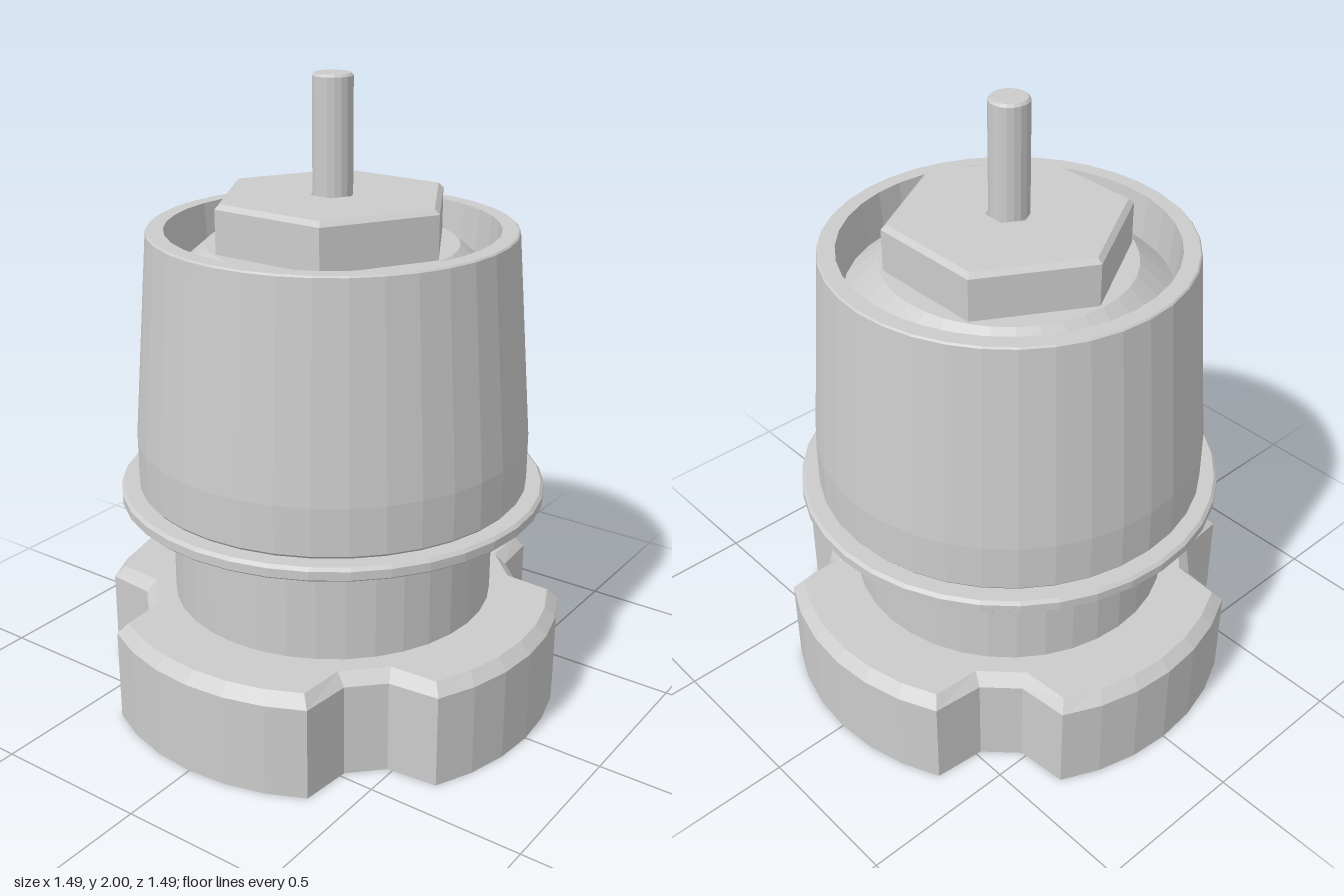
import * as THREE from 'three';

const SIDES = 36;
const material = new THREE.MeshStandardMaterial({ color: 0xcccccc, flatShading: true, side: THREE.DoubleSide });

function addMesh(group, name, geometry) {
  const mesh = new THREE.Mesh(geometry, material);
  mesh.name = name;
  group.add(mesh);
  return mesh;
}

// Turned part from [radius, height] pairs, listed from the bottom outwards and up
function turned(profile, sides = SIDES) {
  return new THREE.LatheGeometry(profile.map(([r, y]) => new THREE.Vector2(r, y)), sides);
}

// Round outline with four flared notches on the diagonals, shrunk by inset
function notchedOutline(inset) {
  const points = [];
  const radius = 0.745 - inset;
  const floor = 0.616 - inset;
  const halfFloor = 0.067 + 0.38 * inset;
  const polar = (r, a) => points.push([r * Math.cos(a), -r * Math.sin(a)]);
  const lobeHalf = THREE.MathUtils.degToRad(30 - 27 * inset);
  for (let k = 0; k < 4; k++) {
    const mid = k * Math.PI / 2;
    for (let i = -3; i <= 3; i++) polar(radius, mid + lobeHalf * i / 3);
    const spread = Math.atan2(halfFloor, floor);
    for (const s of [-1, 1]) polar(Math.hypot(floor, halfFloor), mid + Math.PI / 4 + s * spread);
  }
  return points;
}

// Skin between stacked outlines, closed by a fan at each end
function loft(sections) {
  const positions = [];
  const n = sections[0].outline.length;
  const at = (s, i) => [s.outline[i % n][0], s.y, s.outline[i % n][1]];
  const first = sections[0], last = sections[sections.length - 1];
  for (let i = 0; i < n; i++) {
    for (let k = 0; k < sections.length - 1; k++) {
      const [p, q] = [sections[k], sections[k + 1]];
      positions.push(...at(p, i), ...at(p, i + 1), ...at(q, i + 1));
      positions.push(...at(p, i), ...at(q, i + 1), ...at(q, i));
    }
    positions.push(0, first.y, 0, ...at(first, i + 1), ...at(first, i));
    positions.push(0, last.y, 0, ...at(last, i), ...at(last, i + 1));
  }
  const geometry = new THREE.BufferGeometry();
  geometry.setAttribute('position', new THREE.Float32BufferAttribute(positions, 3));
  geometry.computeVertexNormals();
  return geometry;
}

function hexagon(radius) {
  return Array.from({ length: 6 }, (_, i) =>
    new THREE.Vector2(radius * Math.cos(i * Math.PI / 3), radius * Math.sin(i * Math.PI / 3)));
}

export function createModel() {
  const model = new THREE.Group();
  model.name = 'valveCap';

  // Notched hand wheel with a chamfered top edge
  addMesh(model, 'notchedBase', loft([
    { y: 0, outline: notchedOutline(0) },
    { y: 0.3, outline: notchedOutline(0) },
    { y: 0.335, outline: notchedOutline(0.035) },
  ]));

  // Neck and flange
  addMesh(model, 'neck', turned([[0.52, 0.32], [0.52, 0.69]]));
  addMesh(model, 'flange', turned([
    [0, 0.68], [0.675, 0.68], [0.68, 0.685], [0.68, 0.712], [0.67, 0.722], [0, 0.722],
  ]));

  // Tapered cup, open at the top
  addMesh(model, 'cup', turned([
    [0, 0.72], [0.615, 0.72], [0.623, 0.73], [0.623, 0.88], [0.57, 1.535], [0.565, 1.54],
    [0.515, 1.54], [0.5, 1.38],
  ]));

  // Sloping collar inside the cup with a flat seat for the nut
  addMesh(model, 'innerCollar', turned([[0.505, 1.39], [0.39, 1.49], [0, 1.49]]));

  // Hexagonal nut with a chamfered edge and a hexagonal socket
  const nutShape = new THREE.Shape(hexagon(0.38));
  nutShape.holes.push(new THREE.Path(hexagon(0.055).reverse()));
  const nut = addMesh(model, 'hexNut', new THREE.ExtrudeGeometry(nutShape, {
    depth: 0.145, bevelEnabled: true, bevelSegments: 1,
    bevelSize: 0.015, bevelThickness: 0.015, bevelOffset: -0.015,
  }));
  nut.rotation.x = -Math.PI / 2;
  nut.position.y = 1.48;

  // Central pin
  addMesh(model, 'pin', turned([
    [0, 1.49], [0.062, 1.49], [0.062, 1.992], [0.055, 2], [0, 2],
  ], 18));

  return model;
}
